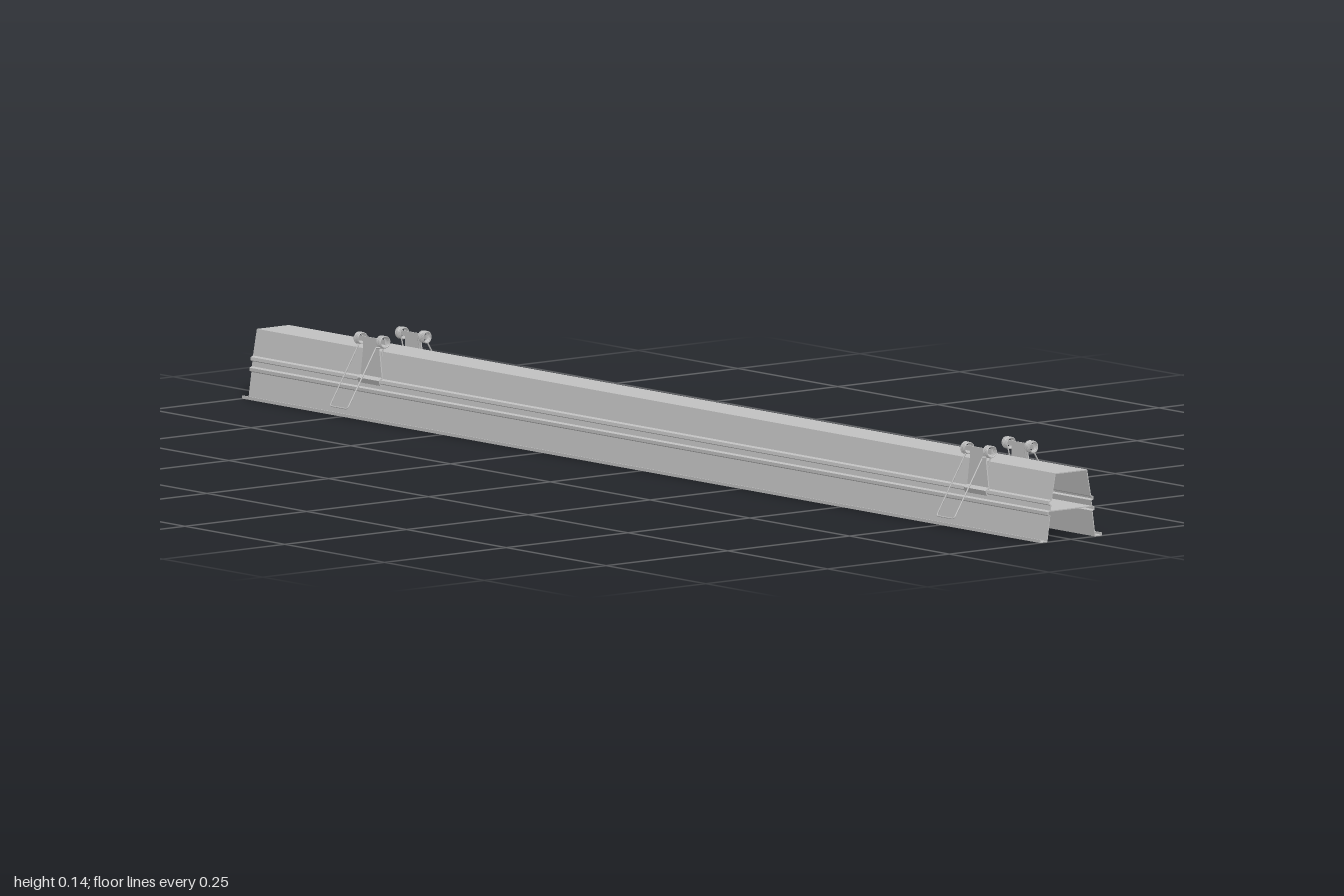
import * as THREE from 'three';

const steel = new THREE.MeshStandardMaterial({ color: 0xc0c0c0 });
steel.name = 'galvanised grey';

function add(parent, name, geometry) {
  const mesh = new THREE.Mesh(geometry, steel);
  mesh.name = name;
  parent.add(mesh);
  return mesh;
}

// Closed outline of a bent sheet, thickened to one side of its path
function sheetShape(points, t) {
  const v = points.map(([x, y]) => new THREE.Vector2(x, y));
  const inner = v.map((p, i) => {
    const a = v[Math.max(i - 1, 0)], b = v[Math.min(i + 1, v.length - 1)];
    const d1 = (i ? p.clone().sub(a) : b.clone().sub(p)).normalize();
    const d2 = (i < v.length - 1 ? b.clone().sub(p) : d1.clone()).normalize();
    const n = new THREE.Vector2(-d1.y - d2.y, d1.x + d2.x).normalize();
    const k = t / Math.max(0.5, n.dot(new THREE.Vector2(-d1.y, d1.x)));
    return p.clone().addScaledVector(n, k);
  });
  return new THREE.Shape([...v, ...inner.reverse()]);
}

function extrudeZ(shape, depth) {
  const g = new THREE.ExtrudeGeometry(shape, { depth, bevelEnabled: false, curveSegments: 8 });
  return g.translate(0, 0, -depth / 2);
}

// Spring clip on the +x side
function makeClip() {
  const clip = new THREE.Group();
  clip.name = 'springClip';
  const cx = 0.043, cy = 0.126;

  // Tapered upright plate with two ears that carry the coils
  const half = [[0.028, 0.058], [0.02, 0.112], [0.02, 0.122], [0.034, 0.122], [0.034, 0.13]];
  const outline = [...half, ...half.map(([z, y]) => [-z, y]).reverse()];
  const plate = new THREE.Shape(outline.map(([z, y]) => new THREE.Vector2(z, y)));
  const plateGeo = new THREE.ExtrudeGeometry(plate, { depth: 0.002, bevelEnabled: false });
  plateGeo.rotateY(Math.PI / 2).translate(cx - 0.001, 0, 0);
  add(clip, 'clipPlate', plateGeo);

  // Hooked foot gripping the channel rib
  const foot = sheetShape([[0.043, 0.067], [0.049, 0.063], [0.047, 0.057], [0.043, 0.056]], 0.0015);
  add(clip, 'clipHook', extrudeZ(foot, 0.054));

  // Coils on both ears and their short inner legs
  const turns = 4, r = 0.0088, wire = 0.0012;
  for (const s of [1, -1]) {
    const pts = [new THREE.Vector3(0.039, 0.1, s * 0.021), new THREE.Vector3(0.037, 0.112, s * 0.021)];
    const n = turns * 14;
    for (let i = 0; i <= n; i++) {
      const a = Math.PI * 1.1 - (i / n) * (turns * 2 * Math.PI + 0.6 * Math.PI);
      pts.push(new THREE.Vector3(cx + r * Math.cos(a), cy + r * Math.sin(a), s * (0.022 + 0.013 * i / n)));
    }
    add(clip, 'springCoil', new THREE.TubeGeometry(new THREE.CatmullRomCurve3(pts), 150, wire, 5));
  }

  // Long wire loop reaching outwards and down
  const loop = new THREE.CurvePath();
  const tip = [0.111, 0.024], w = 0.022, c = 0.004;
  const at = (k, z) => new THREE.Vector3(tip[0] - 0.059 * k, tip[1] + 0.093 * k, z);
  const start = s => new THREE.Vector3(cx, cy - r, s * 0.03);
  loop.add(new THREE.LineCurve3(start(1), at(1, w)));
  loop.add(new THREE.LineCurve3(at(1, w), at(0.05, w)));
  loop.add(new THREE.QuadraticBezierCurve3(at(0.05, w), at(0, w), at(0, w - c)));
  loop.add(new THREE.LineCurve3(at(0, w - c), at(0, c - w)));
  loop.add(new THREE.QuadraticBezierCurve3(at(0, c - w), at(0, -w), at(0.05, -w)));
  loop.add(new THREE.LineCurve3(at(0.05, -w), at(1, -w)));
  loop.add(new THREE.LineCurve3(at(1, -w), start(-1)));
  add(clip, 'springLoop', new THREE.TubeGeometry(loop, 120, wire, 6));
  return clip;
}

export function createModel() {
  const model = new THREE.Group();
  model.name = 'recessedChannel';

  // Folded channel: flanges, ribbed walls and flat top
  const side = [
    [0.062, 0.004], [0.062, 0.0005], [0.05, 0.0005], [0.0442, 0.04], [0.048, 0.042],
    [0.048, 0.047], [0.0435, 0.049], [0.042, 0.057], [0.0465, 0.059], [0.0455, 0.064],
    [0.041, 0.066], [0.033, 0.108],
  ];
  const path = [...side, ...side.map(([x, y]) => [-x, y]).reverse()];
  add(model, 'channel', extrudeZ(sheetShape(path, 0.0016), 2));

  // Inner shelf across the channel
  const shelf = add(model, 'shelf', new THREE.BoxGeometry(0.086, 0.0016, 2));
  shelf.position.y = 0.048;

  // Two pairs of clips
  for (const z of [0.82, -0.7]) {
    for (const turn of [0, Math.PI]) {
      const clip = makeClip();
      clip.rotation.y = turn;
      clip.position.z = z;
      model.add(clip);
    }
  }
  return model;
}
